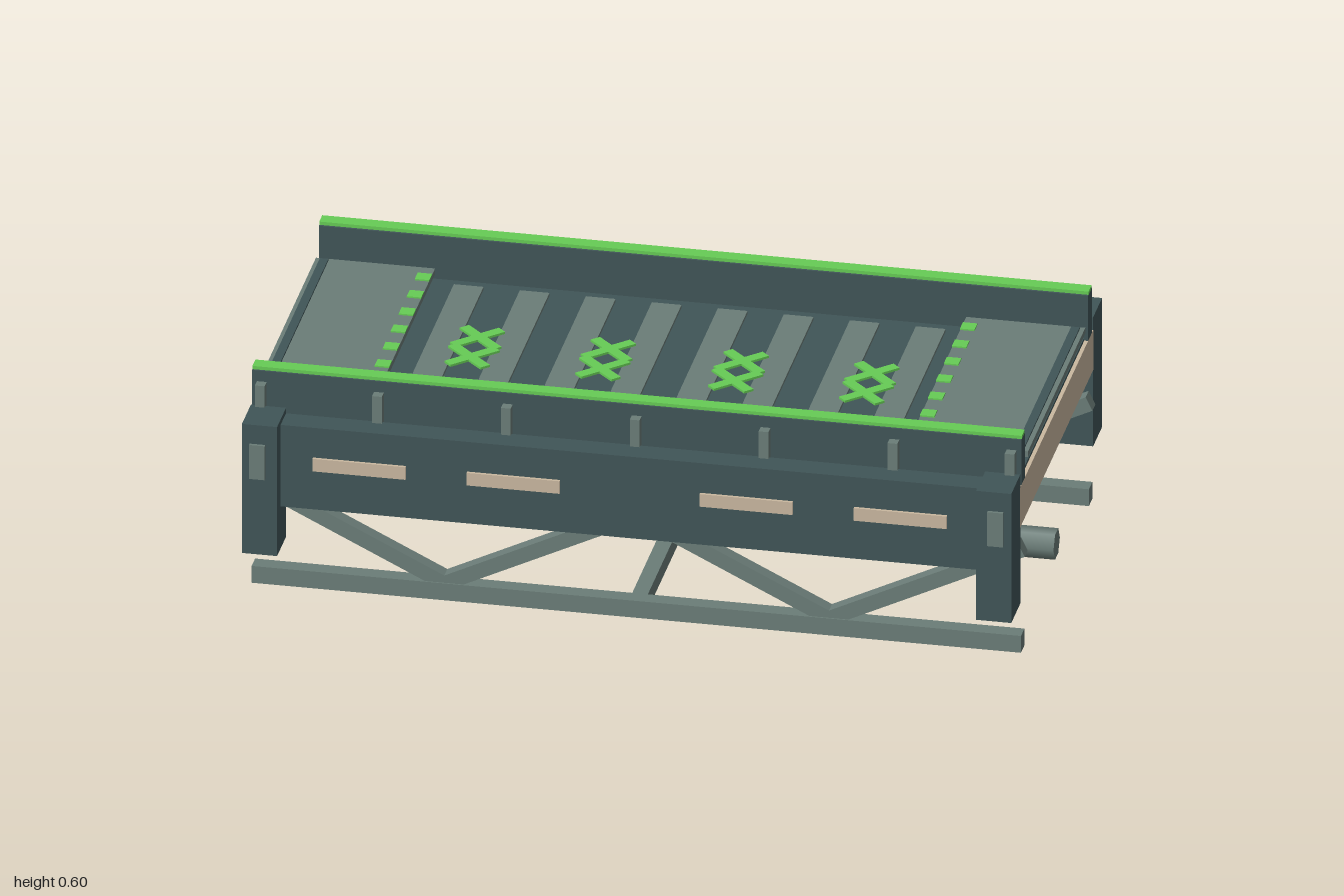
import * as THREE from 'three';

export function createModel() {
  const model = new THREE.Group();
  model.name = 'walkwayBridge';

  const mat = (name, color) => {
    const m = new THREE.MeshStandardMaterial({ color });
    m.name = name;
    return m;
  };
  const dark = mat('darkSlate', 0x405557);
  const grey = mat('greyGreen', 0x6b7d78);
  const tan = mat('sand', 0xcab8a0);
  const green = mat('brightGreen', 0x66cc55);

  // box given by its limits on each axis
  const box = (name, material, [x0, x1], [y0, y1], [z0, z1], parent = model) => {
    const mesh = new THREE.Mesh(new THREE.BoxGeometry(x1 - x0, y1 - y0, z1 - z0), material);
    mesh.position.set((x0 + x1) / 2, (y0 + y1) / 2, (z0 + z1) / 2);
    mesh.name = name;
    parent.add(mesh);
    return mesh;
  };
  const around = (c, w) => [c - w / 2, c + w / 2];
  const L = 0.985;

  // deck slab and its dark covering
  box('deckSlab', tan, [-L, L], [0.355, 0.467], [-0.46, 0.46]);
  box('deckCovering', dark, [-0.975, 0.975], [0.467, 0.475], [-0.4, 0.4]);

  // floor stripes
  for (let i = 0; i < 8; i++) {
    box('floorStripe', grey, around((i - 3.5) * 0.169, 0.076), [0.48, 0.488], [-0.345, 0.345]);
  }

  // green crossed floor markings
  for (const x of [-0.505, -0.17, 0.17, 0.505]) {
    const mark = new THREE.Group();
    mark.name = 'floorMarking';
    mark.position.set(x, 0.491, 0);
    for (const sx of [-1, 1]) for (const sz of [-1, 1]) {
      const bar = box('markingBar', green, around(0, 0.148), around(0, 0.006), around(0, 0.028), mark);
      bar.position.set(sx * 0.004, 0, sz * 0.053);
      bar.rotation.y = sx * sz * Math.PI / 4;
    }
    model.add(mark);
  }

  // raised end plates with a dark edge strip and a row of green dashes
  for (const s of [-1, 1]) {
    box('endPlate', grey, around(s * 0.8325, 0.305), [0.505, 0.521], [-0.357, 0.357]);
    box('endStrip', dark, around(s * 0.962, 0.022), [0.521, 0.526], [-0.347, 0.347]);
    for (let i = -3; i <= 3; i++) {
      box('edgeDash', green, around(s * 0.698, 0.037), [0.521, 0.525], around(i * 0.1, 0.037));
    }
  }

  // parts repeated on both long sides
  for (const s of [-1, 1]) {
    const side = new THREE.Group();
    side.name = s > 0 ? 'frontSide' : 'backSide';
    model.add(side);
    const zr = (a, b) => (s > 0 ? [a, b] : [-b, -a]);

    box('parapet', dark, [-L, L], [0.467, 0.593], zr(0.392, 0.44), side);
    box('parapetCap', green, [-L, L], [0.593, 0.602], zr(0.398, 0.435), side);
    for (const x of [-0.96, -0.66, -0.33, 0, 0.33, 0.66, 0.96]) {
      box('parapetRib', grey, around(x, 0.025), [0.467, 0.563], zr(0.44, 0.465), side);
    }

    box('sideBeam', dark, [-L, L], [0.26, 0.488], zr(0.455, 0.522), side);
    for (const x of [-0.693, -0.298, 0.298, 0.693]) {
      box('beamPanel', tan, around(x, 0.238), [0.37, 0.405], zr(0.522, 0.53), side);
    }

    for (const e of [-1, 1]) {
      box('endPost', dark, around(e * 0.94, 0.09), [0.142, 0.503], zr(0.454, 0.566), side);
      box('postPlate', grey, around(e * 0.945, 0.04), [0.355, 0.45], zr(0.566, 0.574), side);
    }

    // lower truss: chord and zigzag braces
    box('lowerChord', grey, [-L, L], [0, 0.047], zr(0.402, 0.445), side);
    const nodes = [[-L, 0.285], [-L / 2, 0.045], [0, 0.285], [L / 2, 0.045], [L, 0.285]];
    for (let i = 0; i < 4; i++) {
      const [ax, ay] = nodes[i], [bx, by] = nodes[i + 1];
      const brace = box('trussBrace', grey, around(0, Math.hypot(bx - ax, by - ay)),
        around(0, 0.04), zr(0.403, 0.441), side);
      brace.position.x = (ax + bx) / 2;
      brace.position.y = (ay + by) / 2;
      brace.rotation.z = Math.atan2(by - ay, bx - ax);
    }
  }

  // cross members at mid-length
  box('upperCrossBeam', dark, around(0, 0.037), [0.225, 0.32], [-0.43, 0.43]);
  box('lowerCrossBar', grey, around(0, 0.04), [0.002, 0.045], [-0.41, 0.41]);

  // six-sided pipe running under the deck
  const pipe = new THREE.Mesh(new THREE.CylinderGeometry(0.04, 0.04, 2 * L, 6), grey);
  pipe.rotation.z = Math.PI / 2;
  pipe.position.y = 0.089;
  pipe.name = 'servicePipe';
  model.add(pipe);

  return model;
}
